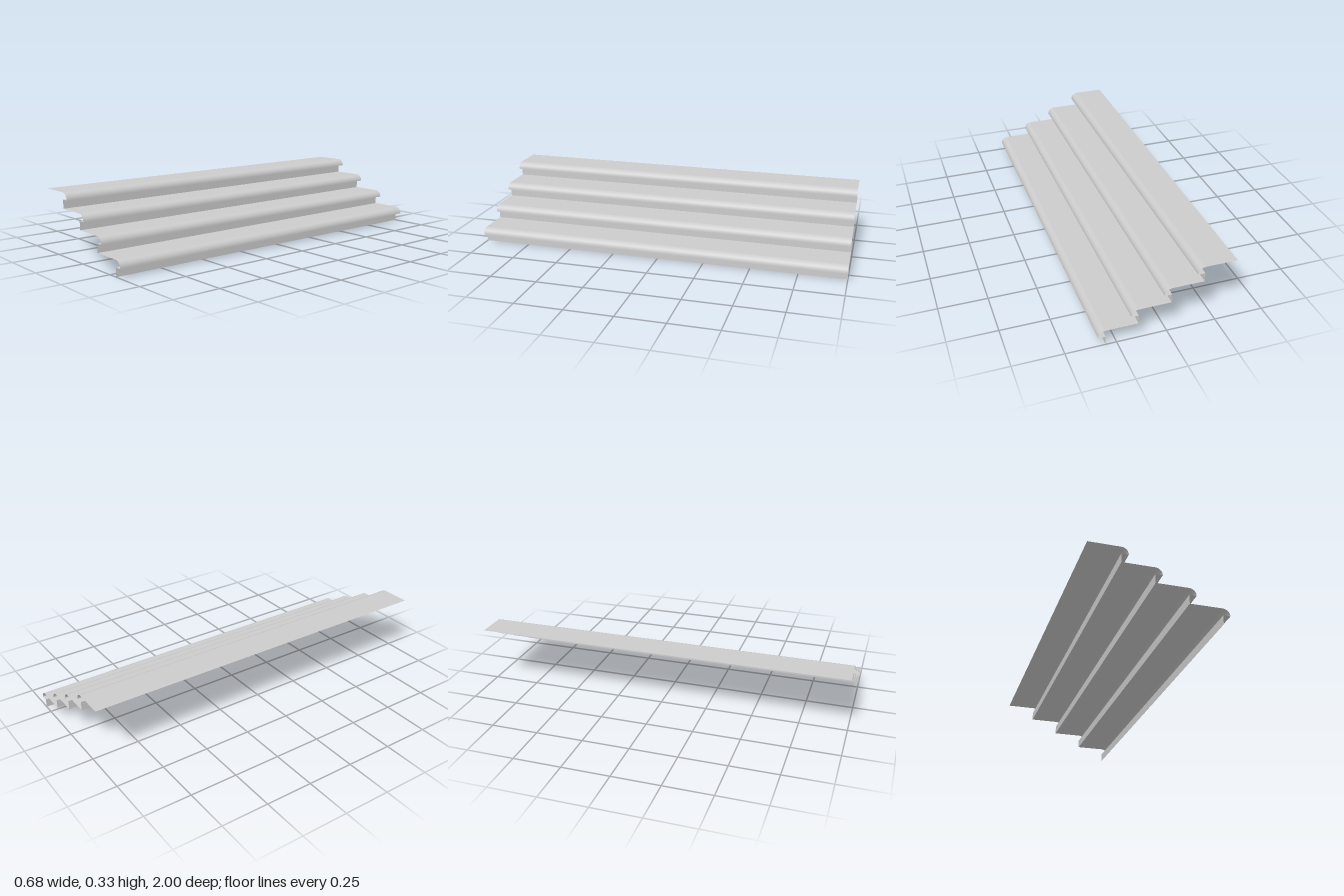
import * as THREE from 'three';

const LENGTH = 2, STEPS = 4;
const RISE = 0.0825, GOING = 0.161, NOSE = 0.036;
const BACK = -(STEPS * GOING + NOSE) / 2;

const material = new THREE.MeshStandardMaterial({ color: 0xcccccc, side: THREE.DoubleSide });

// Thin sheet that sweeps a path of [x, y] points along z
function sheet(name, path) {
  const geometry = new THREE.PlaneGeometry(1, LENGTH, path.length - 1, 1);
  const position = geometry.attributes.position;
  for (let i = 0; i < position.count; i++) {
    const [x, y] = path[i % path.length];
    position.setXYZ(i, x, y, -position.getY(i));
  }
  geometry.computeVertexNormals();
  const mesh = new THREE.Mesh(geometry, material);
  mesh.name = name;
  return mesh;
}

// One step: back edge of the tread at the local origin
function createStep() {
  const step = new THREE.Group();

  // Flat tread running into a quarter-round nosing
  const tread = [[0, 0]];
  const segments = 12;
  for (let i = 0; i <= segments; i++) {
    const a = (i / segments) * Math.PI / 2;
    tread.push([GOING + NOSE * Math.sin(a), NOSE * (Math.cos(a) - 1)]);
  }
  step.add(sheet('treadWithNosing', tread));

  // Flat return under the nosing, then the riser
  step.add(sheet('nosingUnderside', [[GOING + NOSE, -NOSE], [GOING, -NOSE]]));
  step.add(sheet('riser', [[GOING, -NOSE], [GOING, -RISE]]));
  return step;
}

export function createModel() {
  const model = new THREE.Group();
  model.name = 'stairCovering';
  for (let i = 0; i < STEPS; i++) {
    const step = createStep();
    step.name = `step${i + 1}`;
    step.position.set(BACK + i * GOING, (STEPS - i) * RISE, 0);
    model.add(step);
  }
  return model;
}
